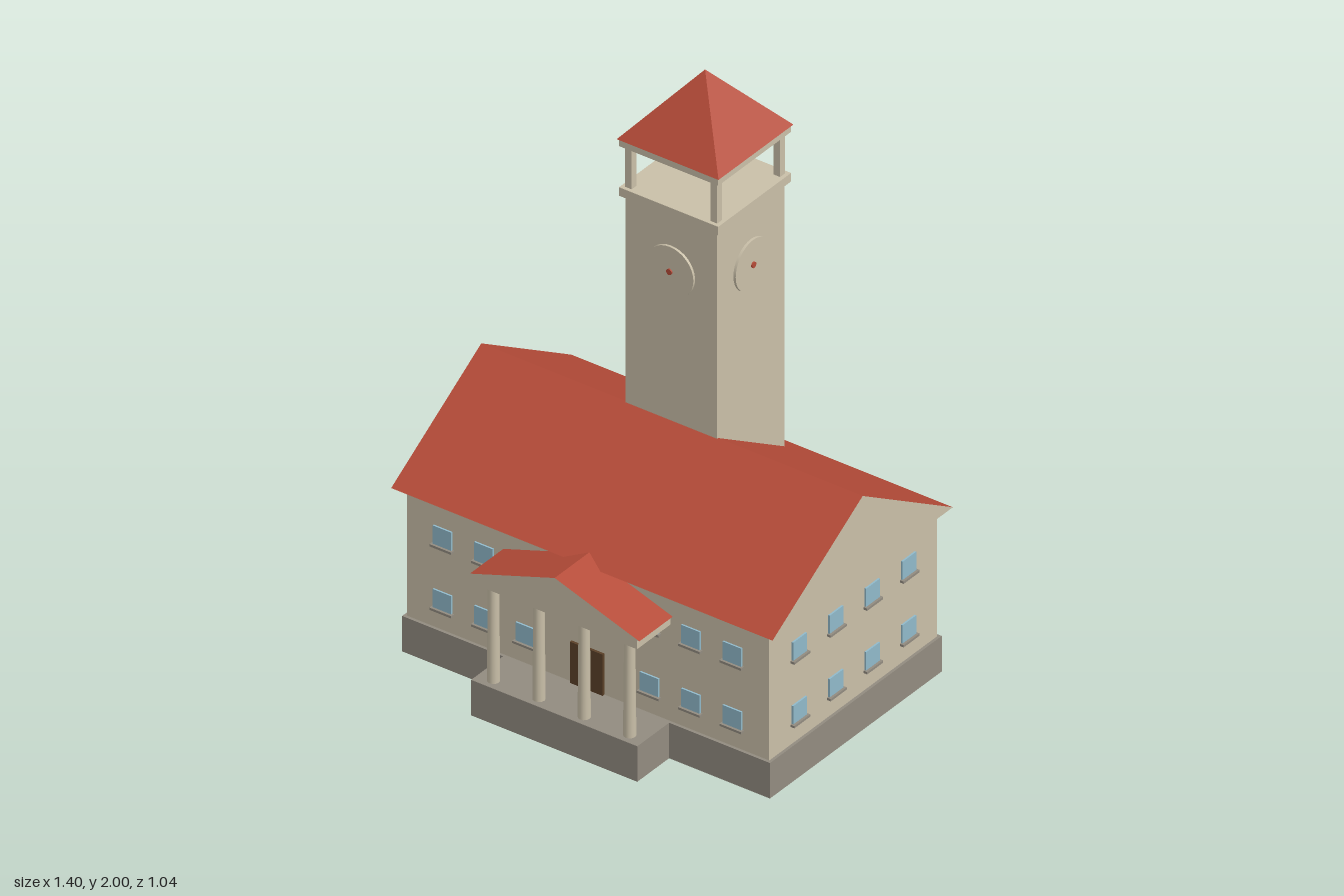
import * as THREE from 'three';

const mat = (name, color) => new THREE.MeshStandardMaterial({ name, color });

export function createModel() {
  const model = new THREE.Group();
  model.name = 'townHall';
  const wall = mat('stoneWall', 0xc9bfa8);
  const base = mat('greyFoundation', 0x928b80);
  const roof = mat('redRoof', 0xb54b38);
  const glass = mat('blueGlass', 0x90b9ca);
  const wood = mat('brownDoor', 0x5a4028);

  const add = (name, geometry, material, x, y, z, parent = model) => {
    const mesh = new THREE.Mesh(geometry, material);
    mesh.name = name;
    mesh.position.set(x, y, z);
    parent.add(mesh);
    return mesh;
  };
  // Box given by its bottom height and its centre in x and z
  const box = (name, material, w, h, d, x, y, z, parent) =>
    add(name, new THREE.BoxGeometry(w, h, d), material, x, y + h / 2, z, parent);
  // Gable roof running along z: wall-coloured ends, red slopes
  const gable = (name, half, h, length) => {
    const s = new THREE.Shape([
      new THREE.Vector2(-half, 0), new THREE.Vector2(half, 0), new THREE.Vector2(0, h)]);
    const g = new THREE.ExtrudeGeometry(s, { depth: length, bevelEnabled: false });
    g.translate(0, 0, -length / 2);
    return add(name, g, [wall, roof], 0, 0, 0);
  };

  // Main building
  const cz = -0.068;
  box('foundation', base, 1.35, 0.125, 0.858, 0, 0, cz);
  box('mainWalls', wall, 1.33, 0.455, 0.838, 0, 0.125, cz);
  const mainRoof = gable('mainRoof', 0.45, 0.275, 1.4);
  mainRoof.rotation.y = Math.PI / 2;
  mainRoof.position.set(0, 0.577, cz);

  // Windows with sills, facing the direction given by angle
  const addWindow = (x, y, z, angle) => {
    const w = new THREE.Group();
    w.name = 'window';
    box('pane', glass, 0.068, 0.064, 0.008, 0, -0.032, 0.002, w);
    box('sill', base, 0.08, 0.008, 0.02, 0, -0.04, 0.004, w);
    w.position.set(x, y, z);
    w.rotation.y = angle;
    model.add(w);
  };
  for (const y of [0.228, 0.452]) {
    for (let i = 0; i < 8; i++) {
      const x = (i - 3.5) * 0.152;
      addWindow(x, y, cz - 0.419, Math.PI);
      if (i !== 3 && i !== 4) addWindow(x, y, cz + 0.419, 0);
    }
    for (let i = 0; i < 4; i++) {
      const z = cz + (i - 1.5) * 0.182;
      for (const s of [-1, 1]) addWindow(s * 0.665, y, z, s * Math.PI / 2);
    }
  }

  // Entrance portico
  box('door', wood, 0.12, 0.145, 0.02, 0, 0.125, 0.35);
  box('porticoFloor', base, 0.61, 0.125, 0.17, 0, 0, 0.435);
  for (const x of [-0.25, -0.083, 0.083, 0.25])
    add('column', new THREE.CylinderGeometry(0.017, 0.02, 0.34, 12), wall, x, 0.295, 0.483);
  box('porticoBeam', wall, 0.605, 0.032, 0.17, 0, 0.465, 0.433);
  gable('porticoRoof', 0.311, 0.104, 0.172).position.set(0, 0.496, 0.432);

  // Tower
  const tower = new THREE.Group();
  tower.name = 'tower';
  tower.position.z = -0.233;
  model.add(tower);
  box('towerShaft', wall, 0.336, 1.455, 0.336, 0, 0.125, 0, tower);
  box('belfryFloor', wall, 0.364, 0.03, 0.364, 0, 1.58, 0, tower);
  box('belfryCeiling', wall, 0.364, 0.025, 0.364, 0, 1.755, 0, tower);
  for (const x of [-0.157, 0.157])
    for (const z of [-0.157, 0.157])
      box('belfryPost', wall, 0.024, 0.145, 0.024, x, 1.61, z, tower);
  const spire = new THREE.ConeGeometry(0.187 * Math.SQRT2, 0.22, 4)
    .rotateY(Math.PI / 4).toNonIndexed();
  spire.computeVertexNormals();
  add('towerRoof', spire, roof, 0, 1.89, 0, tower);

  // One clock on each side of the tower
  for (let i = 0; i < 4; i++) {
    const clock = new THREE.Group();
    clock.name = 'clock';
    clock.rotation.y = i * Math.PI / 2;
    const disc = (r, d) => new THREE.CylinderGeometry(r, r, d, 32).rotateX(Math.PI / 2);
    add('clockFace', disc(0.087, 0.009), wall, 0, 1.38, 0.172, clock);
    add('clockHub', disc(0.01, 0.008), roof, 0, 1.38, 0.177, clock);
    tower.add(clock);
  }
  return model;
}
